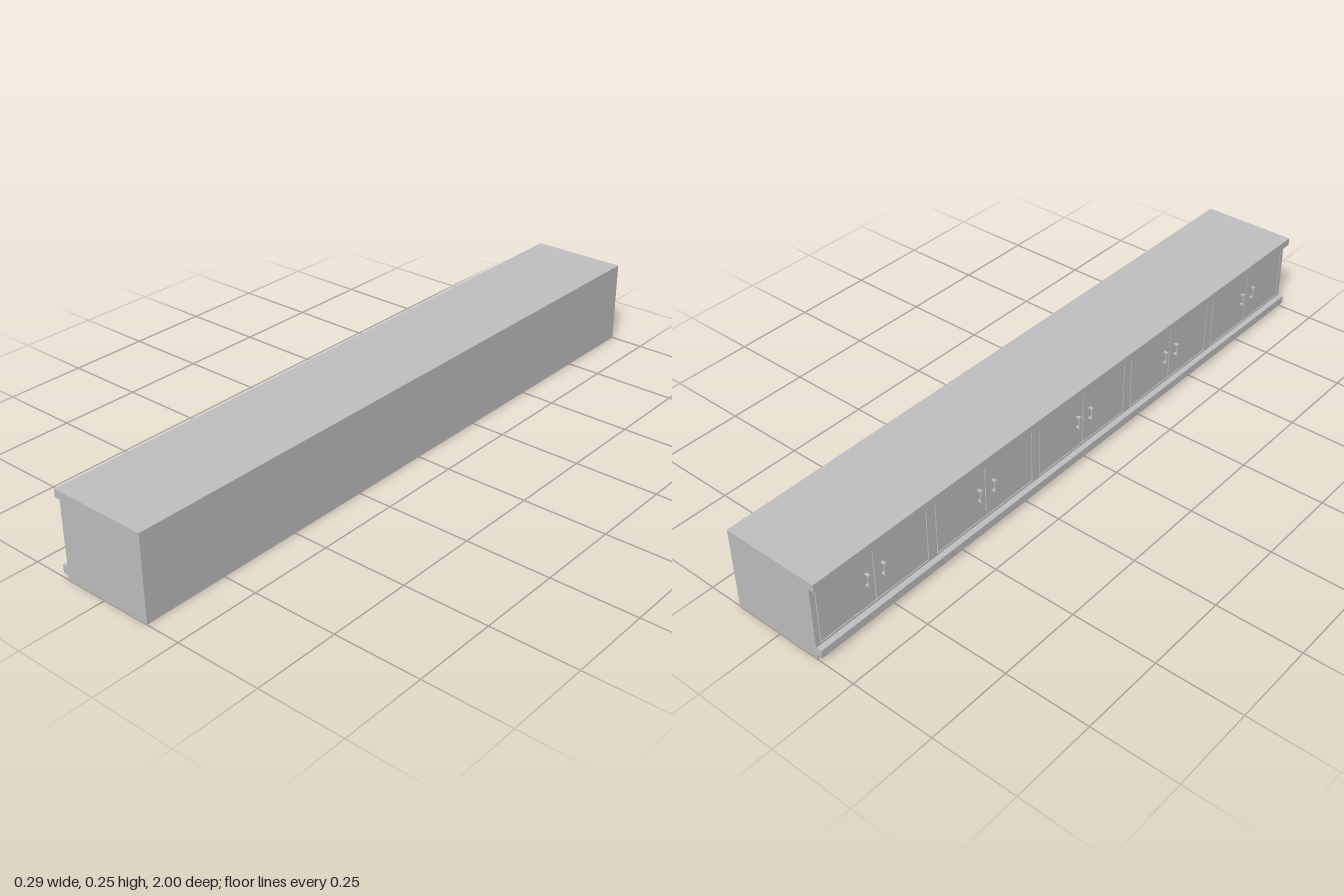
import * as THREE from 'three';

const LENGTH = 2, BACK = 0.147, FACE = -0.13, LIP = -0.147;
const MODULES = 5, PITCH = LENGTH / MODULES;

export function createModel() {
  const model = new THREE.Group();
  model.name = 'cabinetRow';
  const grey = new THREE.MeshStandardMaterial({ color: 0xc0c0c0 });
  grey.name = 'paintedGrey';

  // Box given by its limits on each axis
  function addBox(name, x0, x1, y0, y1, z0, z1) {
    const mesh = new THREE.Mesh(new THREE.BoxGeometry(x1 - x0, y1 - y0, z1 - z0), grey);
    mesh.position.set((x0 + x1) / 2, (y0 + y1) / 2, (z0 + z1) / 2);
    mesh.name = name;
    model.add(mesh);
  }

  // Carcass, plinth, worktop with overhang and the lower rail
  const recess = FACE + 0.004;
  addBox('carcass', recess, BACK, 0.038, 0.227, -1, 1);
  addBox('plinth', FACE, BACK, 0, 0.038, -1, 1);
  addBox('worktop', LIP, BACK, 0.227, 0.25, -1, 1);
  addBox('lowerRail', LIP, FACE, 0.014, 0.038, -1, 1);

  // Face frame: long strips above and below the doors
  addBox('upperFrame', FACE, recess, 0.213, 0.227, -1, 1);
  addBox('lowerFrame', FACE, recess, 0.038, 0.044, -1, 1);

  // Square pull handle: a bracket profile extruded along the row
  const bracket = new THREE.Shape([
    [0, 0.114], [-0.013, 0.114], [-0.013, 0.152], [0, 0.152],
    [0, 0.148], [-0.009, 0.148], [-0.009, 0.118], [0, 0.118],
  ].map(([x, y]) => new THREE.Vector2(x, y)));
  const handleGeometry = new THREE.ExtrudeGeometry(bracket, { depth: 0.008, bevelEnabled: false });
  handleGeometry.translate(FACE, 0, -0.004);

  // Each unit has two doors, two side stiles and mirrored handles
  for (let i = 0; i < MODULES; i++) {
    const mid = -1 + PITCH * (i + 0.5);
    for (const side of [-1, 1]) {
      const span = (a, b) => [mid + side * a, mid + side * b].sort((p, q) => p - q);
      addBox('door', FACE, recess, 0.047, 0.21, ...span(0.0015, 0.182));
      addBox('stile', FACE, recess, 0.044, 0.213, ...span(0.185, PITCH / 2));
      const handle = new THREE.Mesh(handleGeometry, grey);
      handle.name = 'handle';
      handle.position.z = mid + side * 0.027;
      model.add(handle);
    }
  }
  return model;
}
